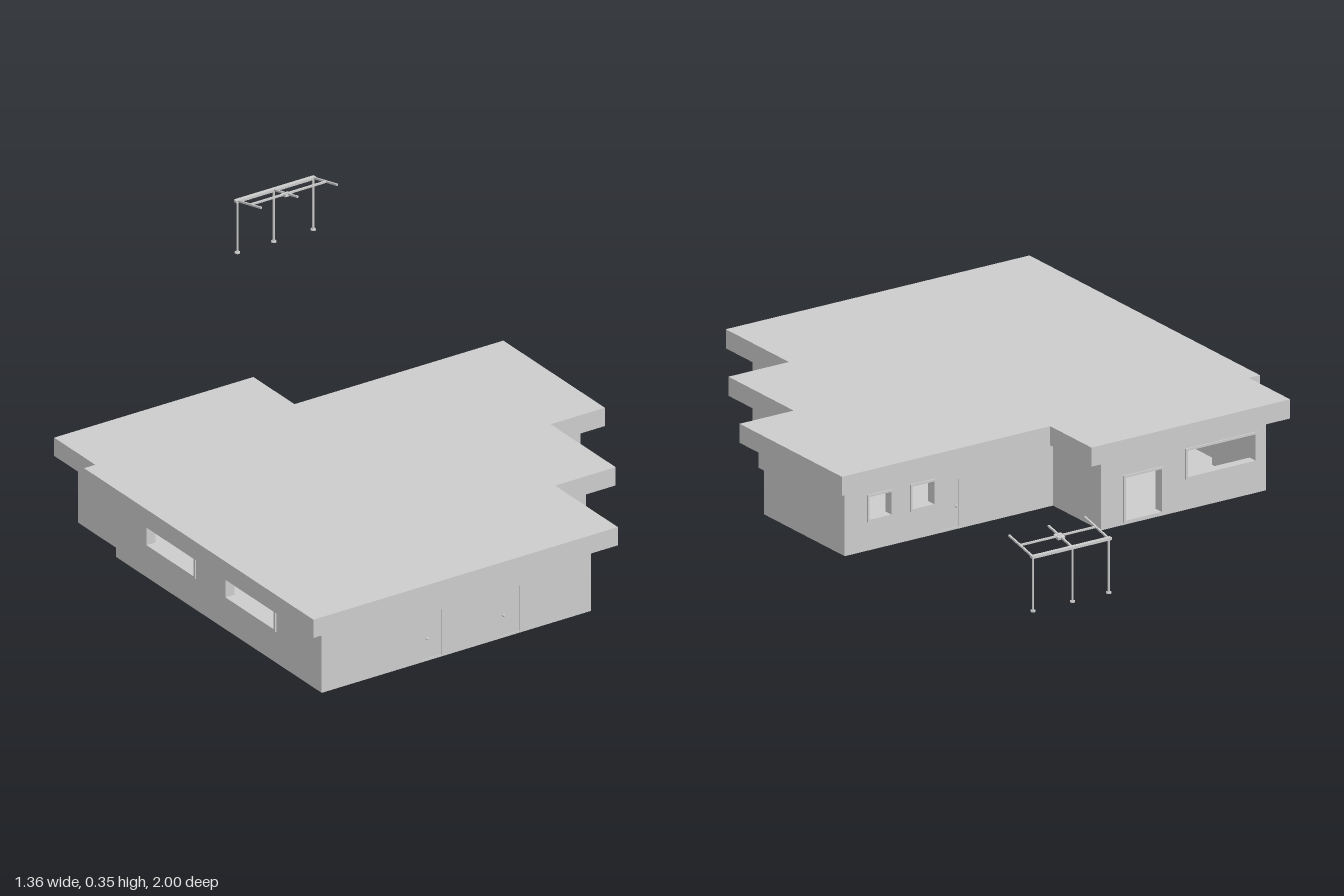
import * as THREE from 'three';

const grey = new THREE.MeshStandardMaterial({ color: 0xcccccc });
const dark = new THREE.MeshStandardMaterial({ color: 0x666666 });
const WALL_TOP = 0.2, THICK = 0.02;

function add(parent, name, geometry, x = 0, y = 0, z = 0, material = grey) {
  const mesh = new THREE.Mesh(geometry, material);
  mesh.name = name;
  mesh.position.set(x, y, z);
  parent.add(mesh);
  return mesh;
}
const box = (w, h, d) => new THREE.BoxGeometry(w, h, d);

// Horizontal slab from an (x, z) outline, between two heights
function slab(parent, name, outline, y0, y1) {
  const shape = new THREE.Shape(outline.map(([x, z]) => new THREE.Vector2(x, -z)));
  const geo = new THREE.ExtrudeGeometry(shape, { depth: y1 - y0, bevelEnabled: false });
  geo.rotateX(-Math.PI / 2);
  return add(parent, name, geo, 0, y0, 0);
}

// Frame of four bars around an opening, in the wall's own plane
function frame(parent, name, u0, u1, y0, y1) {
  const g = new THREE.Group(), b = 0.006, d = THICK + 0.008;
  g.name = name;
  for (const u of [u0 + b / 2, u1 - b / 2]) add(g, 'jamb', box(b, y1 - y0, d), u, (y0 + y1) / 2, -THICK / 2);
  for (const y of [y0 + b / 2, y1 - b / 2]) add(g, 'rail', box(u1 - u0, b, d), (u0 + u1) / 2, y, -THICK / 2);
  parent.add(g);
}

// Wall from a to b with its outer face on the line; openings are measured along it
function wall(parent, a, b, openings = []) {
  const dx = b[0] - a[0], dz = b[1] - a[1], len = Math.hypot(dx, dz);
  const g = new THREE.Group();
  g.name = 'wall';
  g.position.set(a[0], 0, a[1]);
  g.rotation.y = Math.atan2(-dz, dx);
  const rect = (Type, u0, u1, y0, y1) => new Type([[u0, y0], [u1, y0], [u1, y1], [u0, y1]]
    .map(([u, y]) => new THREE.Vector2(u, y)));
  const shape = rect(THREE.Shape, 0, len, 0, WALL_TOP);
  for (const o of openings) {
    const [u0, u1] = o.span.map((p) => Math.abs(p - (dx !== 0 ? a[0] : a[1]))).sort((p, q) => p - q);
    const [y0, y1] = o.y, mid = (u0 + u1) / 2;
    shape.holes.push(rect(THREE.Path, u0, u1, y0, y1));
    if (o.type === 'window') frame(g, 'windowFrame', u0, u1, y0, y1);
    if (o.type === 'opening') frame(g, 'doorFrame', u0, u1, y0, y1);
    if (o.type === 'door') {
      add(g, 'door', box(u1 - u0, y1 - y0, 0.008), mid, (y0 + y1) / 2, -0.006, o.material);
      const knobU = o.knob === undefined ? u1 - 0.01 : Math.abs(o.knob - a[0]);
      add(g, 'doorKnob', new THREE.SphereGeometry(0.004, 10, 8), knobU, 0.065, 0.001, o.material);
    }
  }
  const geo = new THREE.ExtrudeGeometry(shape, { depth: THICK, bevelEnabled: false });
  add(g, 'wallPanel', geo, 0, 0, -THICK);
  parent.add(g);
}

// Free-standing slanted frame on three posts
function createPergola() {
  const g = new THREE.Group();
  g.name = 'pergola';
  const backZ = -0.99, tilt = Math.atan2(0.025, 0.11);
  const slopeY = (z) => 0.327 + (z - backZ) * Math.tan(tilt);
  for (const x of [0.432, 0.546, 0.67]) {
    add(g, 'post', new THREE.CylinderGeometry(0.0028, 0.0028, 0.15, 8), x, 0.25, backZ);
    add(g, 'postFoot', new THREE.CylinderGeometry(0.007, 0.007, 0.004, 12), x, 0.177, backZ);
    const rail = add(g, 'slopingRail', box(0.005, 0.005, 0.118), x, slopeY(-0.937), -0.937);
    rail.rotation.x = -tilt;
  }
  add(g, 'backBeam', box(0.25, 0.007, 0.012), 0.55, slopeY(backZ), backZ);
  add(g, 'crossBar', box(0.24, 0.005, 0.005), 0.551, slopeY(-0.93), -0.93);
  const fitting = add(g, 'centreFitting', box(0.022, 0.007, 0.022), 0.546, slopeY(-0.93) - 0.002, -0.93);
  fitting.rotation.x = -tilt;
  return g;
}

export function createModel() {
  const model = new THREE.Group();
  model.name = 'house';

  // Overhanging flat roof
  slab(model, 'roof', [[-0.68, 1], [0.275, 1], [0.275, 0.71], [0.465, 0.71], [0.465, 0.41], [0.635, 0.41],
    [0.635, -0.06], [-0.02, -0.06], [-0.02, -0.25], [-0.645, -0.25], [-0.645, -0.06], [-0.68, -0.06]], 0.197, 0.25);

  // Wall corners, walked with the outside on the right
  const corners = [[-0.62, 0.95], [0.225, 0.95], [0.225, 0.66], [0.405, 0.66], [0.405, 0.475], [0.2, 0.475],
    [0.2, 0.37], [0.585, 0.37], [0.585, 0], [-0.07, 0], [-0.07, -0.22], [-0.59, -0.22], [-0.59, 0], [-0.62, 0]];
  slab(model, 'floor', corners, 0, 0.006);

  // Openings by the index of the wall's first corner
  const doorY = [0.006, 0.137];
  const openings = {
    0: [{ type: 'door', span: [-0.31, -0.245], y: doorY, knob: -0.29 },
      { type: 'door', span: [-0.065, 0], y: doorY, knob: -0.05 }],
    3: [{ type: 'door', span: [0.54, 0.6], y: doorY, material: dark }],
    8: [{ type: 'window', span: [0.435, 0.515], y: [0.08, 0.155] },
      { type: 'window', span: [0.3, 0.38], y: [0.08, 0.155] },
      { type: 'door', span: [0.225, 0.285], y: doorY }],
    10: [{ type: 'opening', span: [-0.265, -0.14], y: doorY },
      { type: 'window', span: [-0.56, -0.335], y: [0.085, 0.17] }],
    13: [{ type: 'window', span: [0.14, 0.37], y: [0.09, 0.18] },
      { type: 'window', span: [0.505, 0.74], y: [0.09, 0.18] }],
  };
  corners.forEach((a, i) => wall(model, a, corners[(i + 1) % corners.length], openings[i]));

  model.add(createPergola());
  return model;
}
